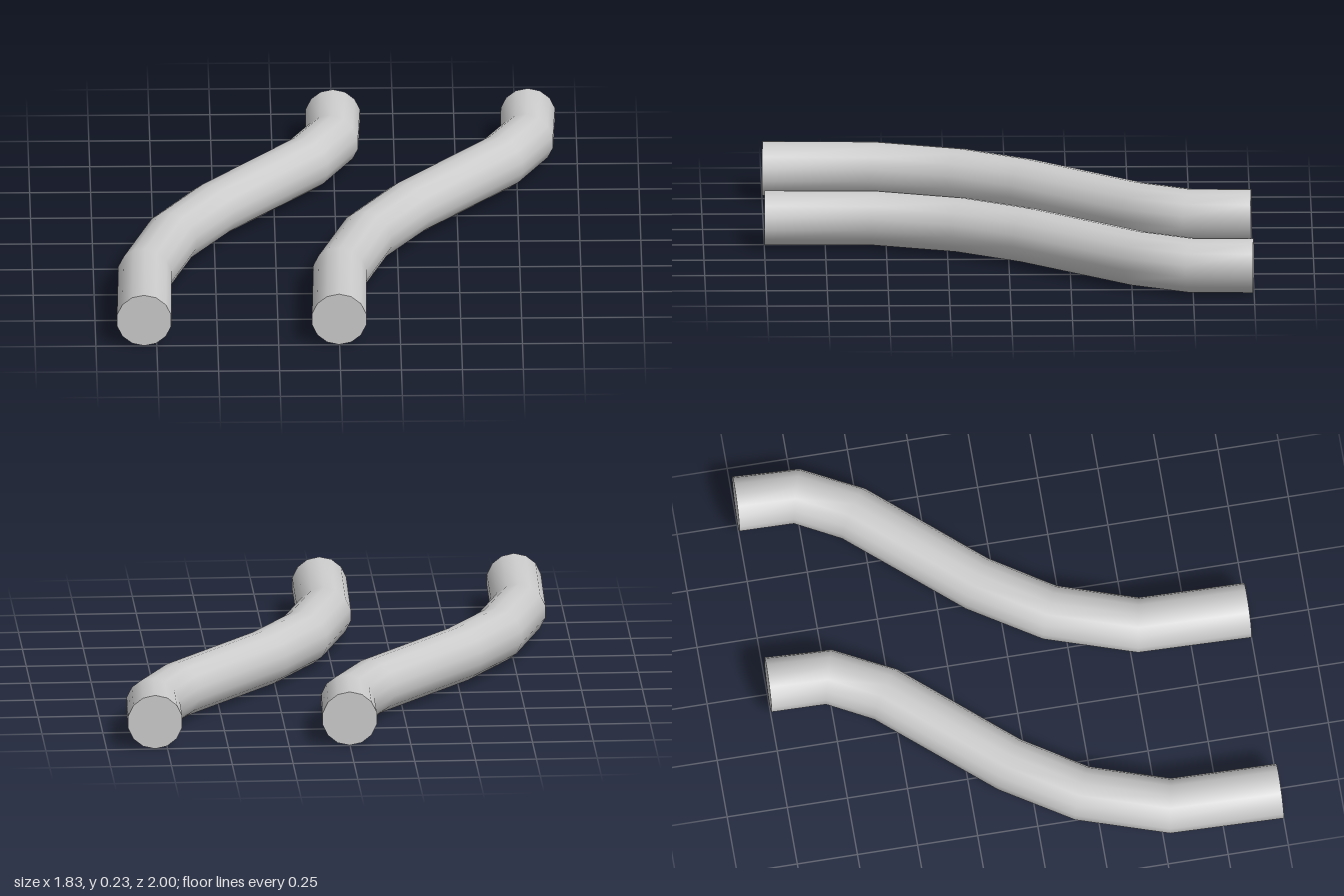
import * as THREE from 'three';

const SIDES = 14;
const RADIUS = 0.114;

// Centreline stations from front to back: x, z and the yaw of the cross-section
const STATIONS = [
  [-0.002, 0.998, 0.02],
  [0.008, 0.545, 0.18],
  [0.122, 0.196, 0.42],
  [0.295, -0.078, 0.6],
  [0.68, -0.527, 0.6],
  [0.793, -0.745, 0.27],
  [0.801, -0.997, 0.03],
];

// Tube wall: one upright ring per station, joined smoothly
function wallGeometry() {
  const positions = [];
  const index = [];
  STATIONS.forEach(([x, z, yaw], k) => {
    for (let i = 0; i < SIDES; i++) {
      const a = Math.PI / 2 + (i / SIDES) * Math.PI * 2;
      const side = RADIUS * Math.cos(a);
      positions.push(x + side * Math.cos(yaw), RADIUS + RADIUS * Math.sin(a), z + side * Math.sin(yaw));
      if (k === STATIONS.length - 1) continue;
      const p = k * SIDES + i;
      const q = k * SIDES + ((i + 1) % SIDES);
      index.push(p, p + SIDES, q + SIDES, p, q + SIDES, q);
    }
  });
  const geometry = new THREE.BufferGeometry();
  geometry.setAttribute('position', new THREE.Float32BufferAttribute(positions, 3));
  geometry.setIndex(index);
  geometry.computeVertexNormals();
  return geometry;
}

export function createModel() {
  const model = new THREE.Group();
  model.name = 'curvedRails';
  const material = new THREE.MeshStandardMaterial({ color: 0xcccccc });
  const wall = wallGeometry();
  const disc = new THREE.CircleGeometry(RADIUS, SIDES, Math.PI / 2);

  // Two identical S-bent rails side by side
  for (const [name, offset] of [['leftRail', 0], ['rightRail', -0.8]]) {
    const rail = new THREE.Group();
    rail.name = name;
    rail.position.x = offset;

    const tube = new THREE.Mesh(wall, material);
    tube.name = 'tube';
    rail.add(tube);

    // Flat end caps
    const ends = [['frontCap', STATIONS[0], 0], ['backCap', STATIONS[STATIONS.length - 1], Math.PI]];
    for (const [capName, [x, z, yaw], turn] of ends) {
      const cap = new THREE.Mesh(disc, material);
      cap.name = capName;
      cap.position.set(x, RADIUS, z);
      cap.rotation.y = turn - yaw;
      rail.add(cap);
    }
    model.add(rail);
  }
  return model;
}
